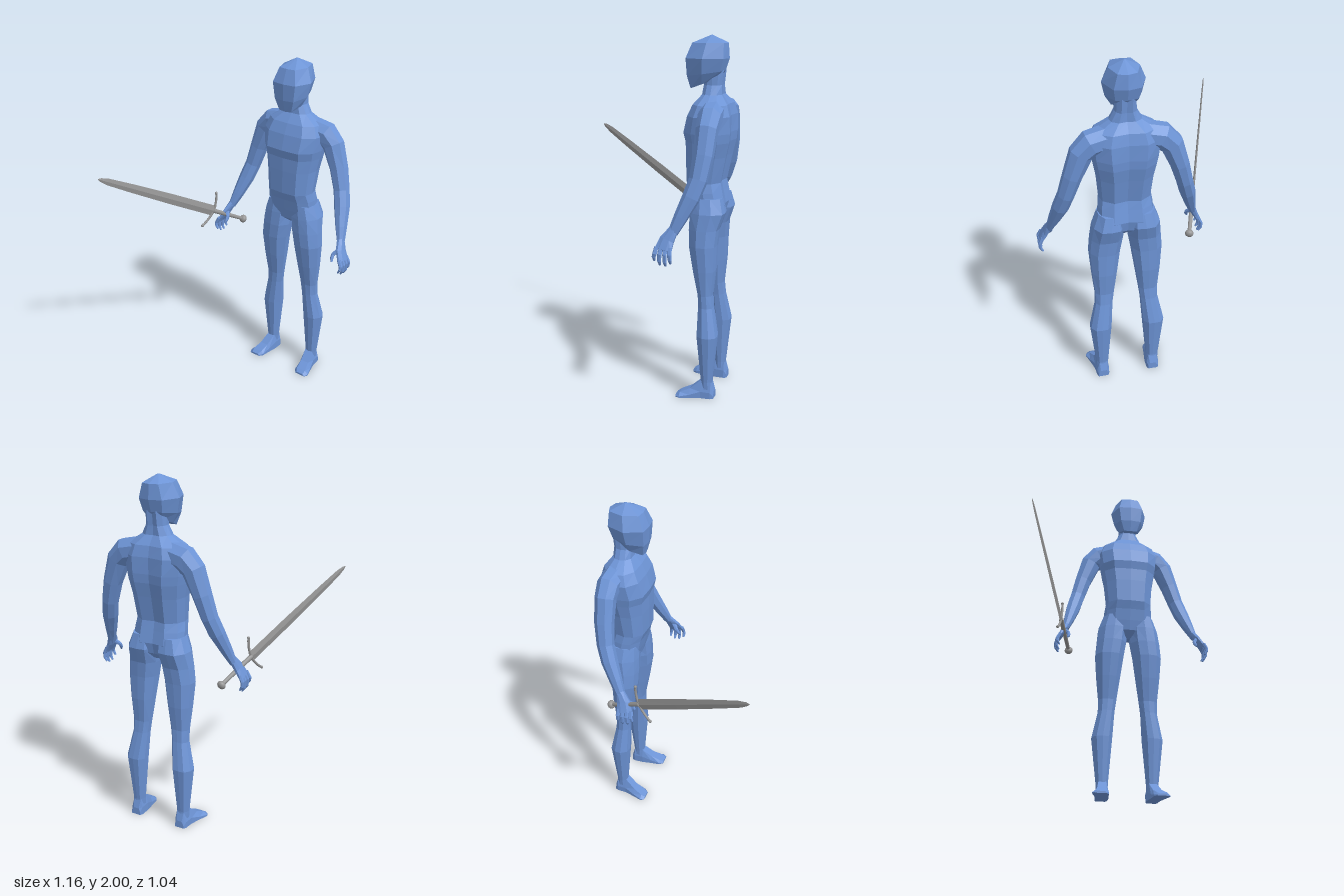
import * as THREE from 'three';

const CX = 0.113; // the figure stands off-centre, the sword reaches the other way

const skin = new THREE.MeshStandardMaterial({ color: 0x6d94d6 });
skin.name = 'blue skin';
const steel = new THREE.MeshStandardMaterial({ color: 0x969696 });
steel.name = 'grey steel';

// Closed faceted skin over a list of rings; side -1 mirrors it across x
function loft(rings, side = 1) {
  const n = rings[0].length, pos = [], idx = [];
  rings.forEach(r => r.forEach(p => pos.push(p[0] * side, p[1], p[2])));
  for (let i = 0; i < rings.length - 1; i++) {
    for (let j = 0; j < n; j++) {
      const a = i * n + j, b = i * n + (j + 1) % n;
      idx.push(a, b, b + n, a, b + n, a + n);
    }
  }
  const last = (rings.length - 1) * n;
  for (let j = 1; j < n - 1; j++) {
    idx.push(0, j + 1, j, last, last + j, last + j + 1);
  }
  // turn the faces outward
  const at = i => new THREE.Vector3().fromArray(pos, i * 3);
  let volume = 0;
  for (let k = 0; k < idx.length; k += 3) {
    volume += at(idx[k]).dot(at(idx[k + 1]).cross(at(idx[k + 2])));
  }
  if (volume < 0) idx.reverse();
  const g = new THREE.BufferGeometry();
  g.setAttribute('position', new THREE.Float32BufferAttribute(pos, 3));
  g.setIndex(idx);
  const flat = g.toNonIndexed();
  flat.computeVertexNormals();
  return flat;
}

// Half cross-sections as [side, front] fractions, from front to back
const TORSO = [[0, 1], [0.6, 0.94], [0.93, 0.5], [1, -0.05], [0.9, -0.6], [0.5, -1], [0, -0.88]];
const LIMB = [[0, 1], [0.6, 0.88], [1, 0.25], [0.95, -0.4], [0.55, -0.95], [0, -1]];
const HEAD = [[0, 1], [0.66, 0.92], [1, 0.05], [0.62, -0.85], [0, -1]];

// Level ring: height, centre x, half width, front z, back z, forward drop
function levelRing(half, y, cx, hw, zf, zb, drop = 0) {
  const full = [...half, ...half.slice(1, -1).reverse().map(([u, v]) => [-u, v])];
  const zc = (zf + zb) / 2, d = (zf - zb) / 2;
  return full.map(([u, v]) => [cx + u * hw, y - drop * v, zc + v * d]);
}

// Rings square to a path of [x, y, z, radius in front view, radius in depth]
function pathRings(path, sides) {
  const P = path.map(p => new THREE.Vector3(p[0], p[1], p[2]));
  return path.map((p, i) => {
    const t = P[Math.min(i + 1, P.length - 1)].clone().sub(P[Math.max(i - 1, 0)]).normalize();
    const u = t.clone().cross(new THREE.Vector3(0, 0, 1)).normalize();
    const v = u.clone().cross(t);
    return Array.from({ length: sides }, (_, k) => {
      const a = (k + 0.5) / sides * Math.PI * 2;
      return P[i].clone().addScaledVector(u, Math.cos(a) * p[3])
        .addScaledVector(v, Math.sin(a) * p[4]).toArray();
    });
  });
}

function add(parent, name, geometry, material = skin) {
  const m = new THREE.Mesh(geometry, material);
  m.name = name;
  parent.add(m);
  return m;
}

const torsoRows = [
  [1.00, 0.03, -0.37, -0.43], [1.04, 0.11, -0.32, -0.475], [1.10, 0.155, -0.305, -0.49],
  [1.17, 0.15, -0.29, -0.475], [1.22, 0.142, -0.272, -0.465], [1.36, 0.155, -0.268, -0.492],
  [1.44, 0.17, -0.268, -0.51], [1.49, 0.18, -0.256, -0.515], [1.58, 0.19, -0.278, -0.512],
  [1.64, 0.165, -0.305, -0.495], [1.69, 0.085, -0.345, -0.455], [1.74, 0.058, -0.35, -0.452],
  [1.82, 0.055, -0.345, -0.46],
];
const headRows = [
  [1.745, 0.062, -0.275, -0.43, 0.028], [1.80, 0.095, -0.258, -0.463, 0.015],
  [1.88, 0.113, -0.252, -0.483], [1.96, 0.08, -0.283, -0.477], [2.0, 0.004, -0.38, -0.388],
];
// height, centre x, half width, front z, back z
const legRows = [
  [1.14, 0.085, 0.07, -0.31, -0.48], [1.06, 0.095, 0.09, -0.305, -0.5],
  [0.97, 0.105, 0.091, -0.305, -0.47], [0.88, 0.117, 0.087, -0.31, -0.462],
  [0.74, 0.122, 0.072, -0.335, -0.458], [0.60, 0.125, 0.055, -0.365, -0.445],
  [0.53, 0.13, 0.05, -0.368, -0.452], [0.37, 0.153, 0.062, -0.368, -0.483],
  [0.10, 0.15, 0.036, -0.395, -0.458], [0.05, 0.15, 0.034, -0.395, -0.46],
];
// z, centre x, half width, top height
const footRows = [
  [-0.472, 0.15, 0.028, 0.045], [-0.455, 0.15, 0.036, 0.1], [-0.40, 0.152, 0.038, 0.105],
  [-0.34, 0.165, 0.042, 0.055], [-0.285, 0.177, 0.048, 0.03], [-0.262, 0.18, 0.034, 0.016],
];
const armPath = [
  [0.10, 1.60, -0.42, 0.07, 0.07], [0.185, 1.58, -0.43, 0.075, 0.066],
  [0.235, 1.53, -0.43, 0.066, 0.06], [0.283, 1.40, -0.425, 0.053, 0.056],
  [0.318, 1.28, -0.41, 0.046, 0.05], [0.345, 1.19, -0.38, 0.045, 0.048],
  [0.375, 1.09, -0.335, 0.033, 0.038], [0.40, 1.01, -0.30, 0.02, 0.028],
];
const palmPath = [
  [0.395, 1.03, -0.305, 0.02, 0.026], [0.418, 0.975, -0.275, 0.018, 0.042],
  [0.445, 0.925, -0.262, 0.013, 0.05],
];
// root z, tip z, tip height
const fingers = [
  [-0.225, -0.215, 0.866], [-0.25, -0.245, 0.846], [-0.274, -0.275, 0.842], [-0.298, -0.302, 0.856],
];

function makeSide(body, side, label) {
  add(body, label + 'Leg', loft(legRows.map(r => levelRing(LIMB, ...r)), side));
  add(body, label + 'Foot', loft(footRows.map(([z, x, w, h]) => [
    [x - w, 0.004, z], [x + w, 0.004, z], [x + w, h * 0.4, z],
    [x + w * 0.55, h, z], [x - w * 0.7, h, z], [x - w, h * 0.5, z]]), side));
  add(body, label + 'Arm', loft(pathRings(armPath, 8), side));

  const hand = new THREE.Group();
  hand.name = label + 'Hand';
  body.add(hand);
  add(hand, 'palm', loft(pathRings(palmPath, 8), side));
  fingers.forEach(([z0, z1, y], i) => add(hand, 'finger' + (i + 1), loft(pathRings([
    [0.44, 0.94, z0, 0.011, 0.012], [0.457, 0.905, (z0 + z1) / 2, 0.011, 0.012],
    [0.456, y + 0.022, z1, 0.009, 0.01], [0.443, y, z1, 0.005, 0.006]], 6), side)));
  add(hand, 'thumb', loft(pathRings([
    [0.41, 0.985, -0.27, 0.013, 0.016], [0.387, 0.955, -0.243, 0.011, 0.012],
    [0.388, 0.935, -0.23, 0.01, 0.01], [0.395, 0.918, -0.22, 0.005, 0.006]], 6), side));
}

// Sword pointing along its own +z, guard at the origin, edges up and down
function makeSword() {
  const sword = new THREE.Group();
  sword.name = 'sword';
  const blade = [[-0.01, 0.033, 0.007], [0.3, 0.032, 0.006], [0.6, 0.026, 0.005],
    [0.76, 0.02, 0.004], [0.81, 0.011, 0.003], [0.828, 0.001, 0.001]];
  add(sword, 'blade', loft(blade.map(([z, w, t]) => [[t, 0, z], [0, w, z], [-t, 0, z], [0, -w, z]])), steel);

  const bow = new THREE.QuadraticBezierCurve3(new THREE.Vector3(0, 0.11, 0.03),
    new THREE.Vector3(0, 0, -0.035), new THREE.Vector3(0, -0.11, 0.03));
  add(sword, 'crossGuard', new THREE.TubeGeometry(bow, 12, 0.007, 8), steel);
  for (const s of [-1, 1]) {
    add(sword, 'guardTip', new THREE.SphereGeometry(0.009, 8, 6), steel).position.set(0, s * 0.11, 0.03);
  }
  const grip = add(sword, 'grip', new THREE.CylinderGeometry(0.014, 0.011, 0.24, 10), steel);
  grip.rotation.x = Math.PI / 2;
  grip.position.z = -0.12;
  const pommel = add(sword, 'pommel', new THREE.SphereGeometry(0.025, 12, 8), steel);
  pommel.scale.z = 0.8;
  pommel.position.z = -0.245;

  sword.position.set(-0.33, 1.01, -0.17);
  sword.lookAt(-0.58, 1.39, 0.52);
  return sword;
}

export function createModel() {
  const model = new THREE.Group();
  model.name = 'swordsman';
  const body = new THREE.Group();
  body.name = 'body';
  body.position.x = CX;
  model.add(body);
  add(body, 'torso', loft(torsoRows.map(([y, w, f, b]) => levelRing(TORSO, y, 0, w, f, b))));
  add(body, 'head', loft(headRows.map(([y, w, f, b, d]) => levelRing(HEAD, y, 0, w, f, b, d))));
  makeSide(body, 1, 'left');
  makeSide(body, -1, 'right');
  model.add(makeSword());
  return model;
}
